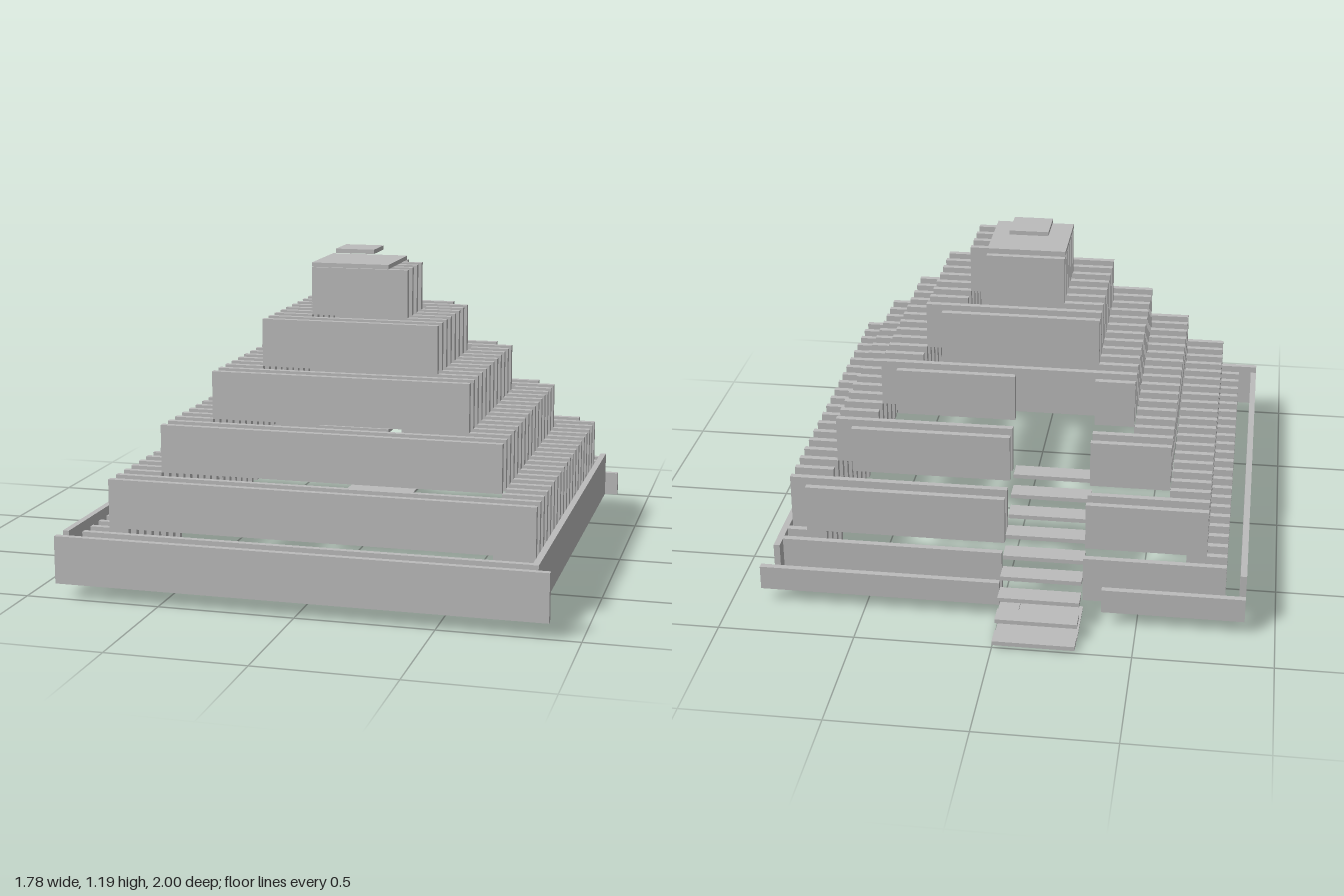
import * as THREE from 'three';

export function createModel() {
  const model = new THREE.Group();
  model.name = 'steppedPyramid';
  const stone = new THREE.MeshStandardMaterial({ color: 0xbcbcbc });
  stone.name = 'stone';

  // box given by its extents on each axis
  function block(name, x0, x1, y0, y1, z0, z1, parent = model) {
    const mesh = new THREE.Mesh(new THREE.BoxGeometry(x1 - x0, y1 - y0, z1 - z0), stone);
    mesh.name = name;
    mesh.position.set((x0 + x1) / 2, (y0 + y1) / 2, (z0 + z1) / 2);
    parent.add(mesh);
  }

  const T = 0.023;        // panel thickness
  const PITCH = 0.0741;   // spacing of the rows
  const TOOTH = 0.148;    // width of the short side panels
  const DOOR = [-0.297, 0]; // stair opening
  const rowZ = (i) => 0.908 - PITCH * i;

  // tiers: hollow rings with doubled front and back panels and short panels along the sides
  const tiers = [
    { left: -0.815, right: 0.815, first: 0, last: 22, y0: 0.055, y1: 0.23, inner: 0, cut: 1, backRight: 0.815 },
    { left: -0.741, right: 0.815, first: 1, last: 21, y0: 0.23, y1: 0.41, inner: 1, cut: 2, backRight: 0.741 },
    { left: -0.593, right: 0.667, first: 3, last: 19, y0: 0.41, y1: 0.587, inner: 1, cut: 2, backRight: 0.593 },
    { left: -0.445, right: 0.518, first: 5, last: 17, y0: 0.587, y1: 0.765, inner: 1, cut: 1, backRight: 0.445 },
    { left: -0.297, right: 0.368, first: 7, last: 15, y0: 0.765, y1: 0.943, inner: 1, cut: 0, backRight: 0.297 },
    { left: -0.148, right: 0.22, first: 9, last: 13, y0: 0.943, y1: 1.122, inner: 1, cut: 0, backRight: 0.148 },
  ];
  tiers.forEach((t, n) => {
    const tier = new THREE.Group();
    tier.name = 'tier' + (n + 1);
    model.add(tier);
    for (let i = t.first; i <= t.last; i++) {
      const z0 = rowZ(i) - T / 2, z1 = rowZ(i) + T / 2;
      const fromBack = t.last - i;
      const right = fromBack === 0 ? t.backRight : t.right;
      const put = (name, a, b) => block(name, a, b, t.y0, t.y1, z0, z1, tier);
      if (fromBack < t.cut) {
        put('backPanelRight', t.left, DOOR[0]);
        put('backPanelLeft', DOOR[1], right);
      } else if (i - t.first <= t.inner || fromBack <= t.inner) {
        put(fromBack <= t.inner ? 'backPanel' : 'frontPanel', t.left, right);
      } else {
        put('sidePanelRight', t.left, t.left + TOOTH);
        put('sidePanelLeft', right - TOOTH, right);
      }
    }
  });

  // outer enclosure
  block('frontWall', -0.889, 0.889, 0.055, 0.23, 0.977, 1);
  block('sideWallRight', -0.889, -0.866, 0.055, 0.23, -0.782, 0.922);
  block('sideWallLeft', 0.815, 0.838, 0.055, 0.23, -0.782, 0.922);
  block('backWallRight', -0.889, -0.372, 0.055, 0.147, -0.806, -0.783);
  block('backWallLeft', 0, 0.889, 0.055, 0.147, -0.806, -0.783);

  // floating stair treads rising into the opening
  const stairs = new THREE.Group();
  stairs.name = 'stairs';
  model.add(stairs);
  for (let i = 0; i < 9; i++) {
    const z = -1 + 0.0735 * i, y = 0.01 + 0.0446 * i;
    block('tread', DOOR[0], DOOR[1], y, y + 0.016, z, z + 0.0735, stairs);
  }
  block('groundPlate', DOOR[0], DOOR[1], 0, 0.006, -0.92, -0.7, stairs);
  block('sillPlate', -0.075, 0, 0.05, 0.055, -0.85, -0.78, stairs);

  // roof slab, floating finial and a loose stone on the terrace
  block('roofSlab', -0.148, 0.148, 1.124, 1.14, -0.038, 0.256);
  block('finial', -0.074, 0.074, 1.17, 1.186, 0.038, 0.185);
  block('looseStone', -0.513, -0.455, 0.405, 0.425, 0.415, 0.46);

  return model;
}
